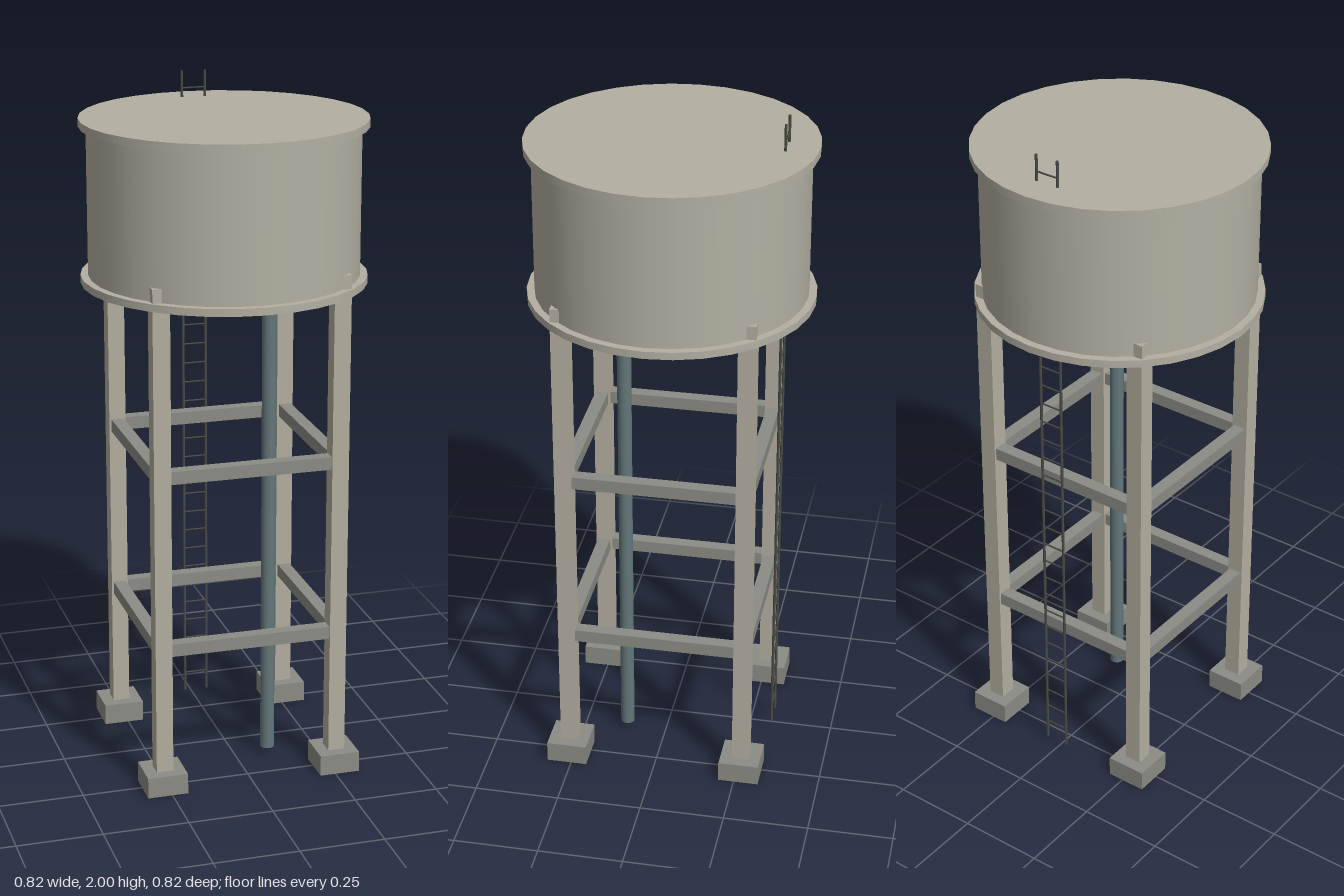
import * as THREE from 'three';

const mat = (color) => new THREE.MeshStandardMaterial({ color });

export function createModel() {
  const model = new THREE.Group();
  const tankMat = mat(0xb3b0a2), legMat = mat(0xb3ae9f), concreteMat = mat(0x8b8c85);
  const pipeMat = mat(0x63777a), ladderMat = mat(0x4a4c46);

  const add = (parent, name, geometry, material, x = 0, y = 0, z = 0) => {
    const mesh = new THREE.Mesh(geometry, material);
    mesh.name = name;
    mesh.position.set(x, y, z);
    parent.add(mesh);
    return mesh;
  };
  const group = (name) => {
    const g = new THREE.Group();
    g.name = name;
    model.add(g);
    return g;
  };
  // Upright cylinder given by its bottom and top heights
  const column = (parent, name, r, y0, y1, sides, material, x = 0, z = 0) =>
    add(parent, name, new THREE.CylinderGeometry(r, r, y1 - y0, sides), material, x, (y0 + y1) / 2, z);

  // Tank: drum with a projecting floor slab and lid
  const tank = group('tank');
  column(tank, 'tankWall', 0.39, 1.46, 1.91, 32, tankMat);
  column(tank, 'tankFloor', 0.412, 1.45, 1.472, 32, tankMat);
  column(tank, 'tankLid', 0.412, 1.9, 1.923, 32, tankMat);

  // Four legs on footings; the leg tops run up into the drum
  const spread = 0.263, legWidth = 0.05, legTop = 1.512;
  const frame = group('frame');
  for (const sx of [-1, 1]) {
    for (const sz of [-1, 1]) {
      add(frame, 'leg', new THREE.BoxGeometry(legWidth, legTop - 0.03, legWidth), legMat,
        sx * spread, (legTop + 0.03) / 2, sz * spread);
      add(frame, 'footing', new THREE.BoxGeometry(0.12, 0.062, 0.12), concreteMat,
        sx * spread, 0.031, sz * spread);
    }
  }

  // Two square rings of braces between the legs
  const braceLength = 2 * spread - legWidth + 0.01;
  for (const y of [0.437, 0.96]) {
    for (const s of [-1, 1]) {
      add(frame, 'brace', new THREE.BoxGeometry(braceLength, 0.038, 0.038), concreteMat, 0, y, s * spread);
      add(frame, 'brace', new THREE.BoxGeometry(0.038, 0.038, braceLength), concreteMat, s * spread, y, 0);
    }
  }

  // Supply pipe rising into the tank floor
  column(model, 'supplyPipe', 0.021, 0.02, 1.46, 16, pipeMat, 0.1, 0.12);

  // Ladder at the back, passing up through the lid
  const ladder = group('ladder');
  ladder.position.z = -0.32;
  for (const s of [-1, 1]) column(ladder, 'ladderRail', 0.004, 0.03, 2, 8, ladderMat, s * 0.035);
  const rungGeometry = new THREE.CylinderGeometry(0.0025, 0.0025, 0.07, 6);
  for (let y = 0.09; y < 1.96; y += 0.06) {
    add(ladder, 'ladderRung', rungGeometry, ladderMat, 0, y).rotation.z = Math.PI / 2;
  }

  return model;
}
